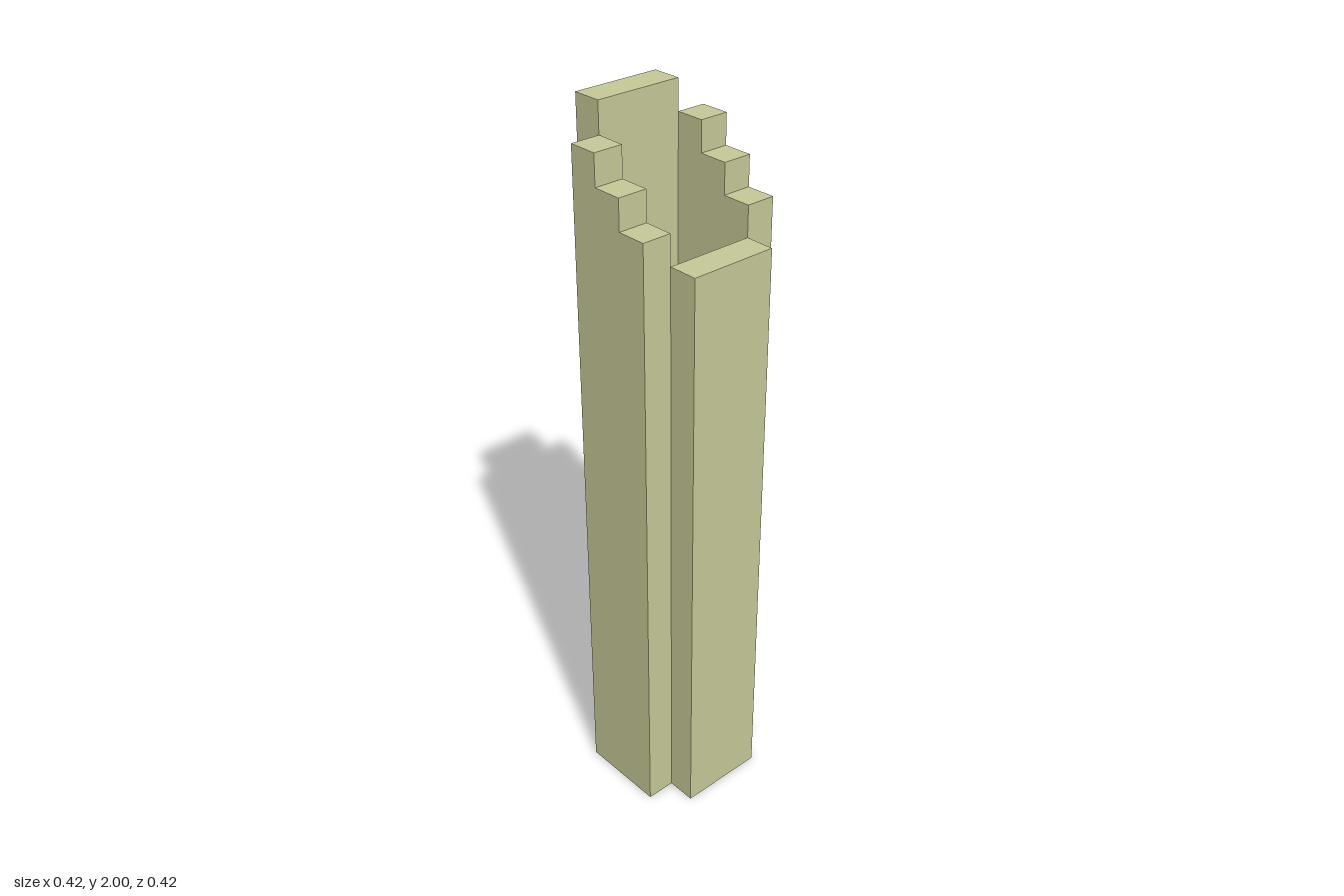
import * as THREE from 'three';

const U = 1 / 12; // one block unit: wall thickness and step size

export function createModel() {
  const group = new THREE.Group();
  group.name = 'hollowSteppedTower';

  const paleOlive = new THREE.MeshStandardMaterial({ color: 0xc6ca98 });
  paleOlive.name = 'paleOlive';

  const add = (name, geometry, x, y, z) => {
    const mesh = new THREE.Mesh(geometry, paleOlive);
    mesh.name = name;
    mesh.position.set(x, y, z);
    group.add(mesh);
  };

  // Low front wall and tall back wall
  const wall = (name, height, z) =>
    add(name, new THREE.BoxGeometry(3 * U, height * U, U), 0, (height * U) / 2, z * U);
  wall('frontWall', 20, 2);
  wall('backWall', 24, -2);

  // Side walls: profile in z and y, climbing in three steps towards the back
  const profile = new THREE.Shape();
  profile.moveTo(-1.5 * U, 0);
  profile.lineTo(1.5 * U, 0);
  for (let i = 0; i < 3; i++) {
    profile.lineTo((1.5 - i) * U, (21 + i) * U);
    profile.lineTo((0.5 - i) * U, (21 + i) * U);
  }
  profile.closePath();
  const side = new THREE.ExtrudeGeometry(profile, { depth: U, bevelEnabled: false });
  side.translate(0, 0, -U / 2);
  side.rotateY(-Math.PI / 2);
  add('leftSteppedWall', side, 2 * U, 0, 0);
  add('rightSteppedWall', side, -2 * U, 0, 0);

  return group;
}
